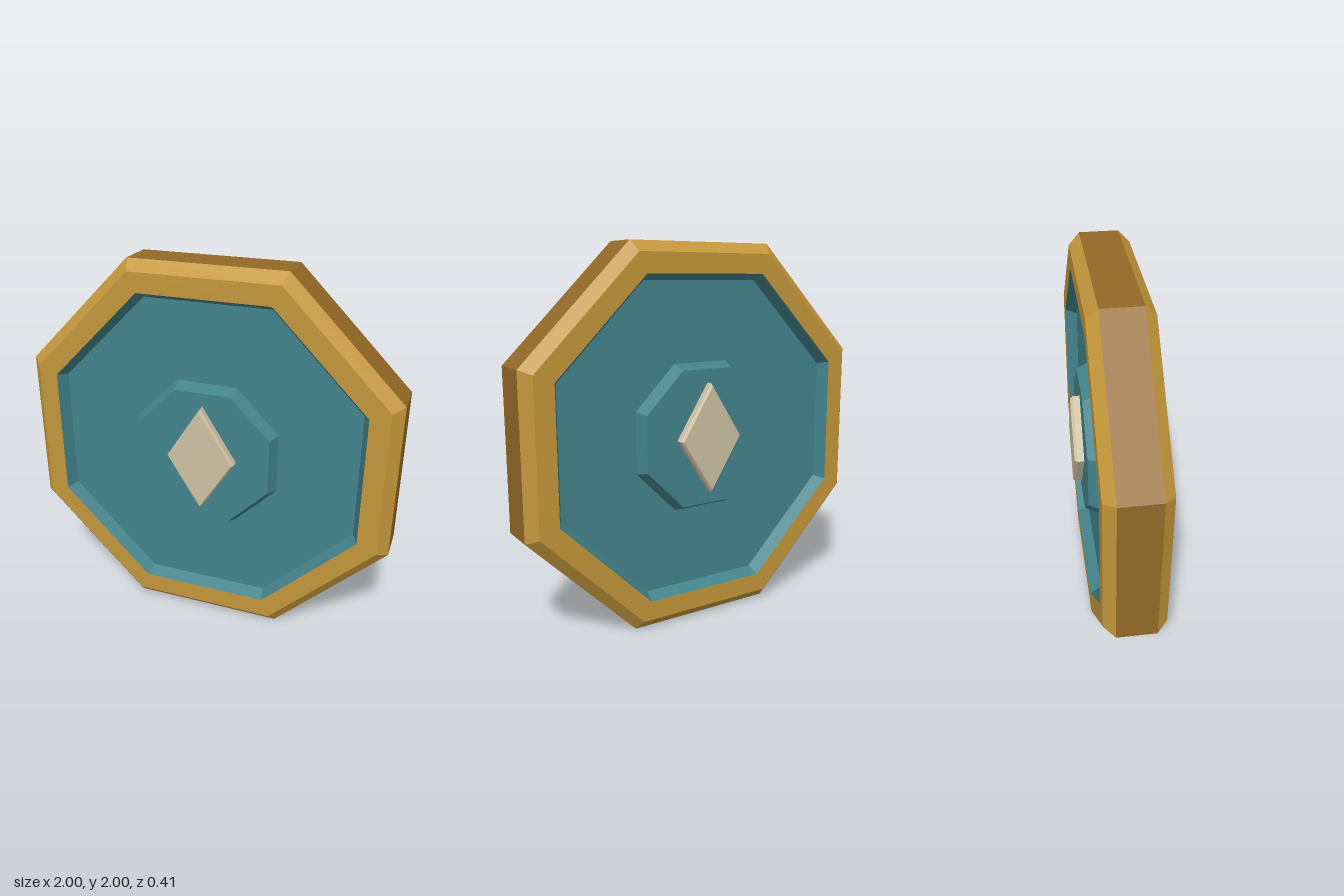
import * as THREE from 'three';

const material = (name, color) => {
  const m = new THREE.MeshStandardMaterial({ color });
  m.name = name;
  return m;
};

// Faceted turned shape around z; each profile point is [apothem or radius, z]
function faceted(profile, sides, phiStart, radiusScale) {
  const points = profile.map(([r, z]) => new THREE.Vector2(r * radiusScale, z));
  const geometry = new THREE.LatheGeometry(points, sides, phiStart);
  geometry.rotateX(Math.PI / 2);
  return geometry;
}

// Separate the facets so that every face is flat
function flat(geometry) {
  const g = geometry.toNonIndexed();
  g.computeVertexNormals();
  return g;
}

const octagon = (profile) => flat(faceted(profile, 8, Math.PI / 8, 1 / Math.cos(Math.PI / 8)));

export function createModel() {
  const gold = material('gold', 0xc4973b);
  const darkGold = material('dark gold', 0x936926);
  const teal = material('teal', 0x43838c);
  const cream = material('cream', 0xcec1a3);

  const model = new THREE.Group();
  model.name = 'octagonalMedallion';

  const add = (parent, name, geometry, mat) => {
    const mesh = new THREE.Mesh(geometry, mat);
    mesh.name = name;
    parent.add(mesh);
  };

  // Outer edge band
  add(model, 'edgeBand', octagon([[1, -0.1], [1, 0.1]]), darkGold);

  // Bevelled rim face
  const rim = octagon([[1, 0.1], [0.945, 0.155], [0.842, 0.155]]);

  // Recessed panel with a raised central boss
  const panel = octagon([[0.842, 0.155], [0.81, 0.09], [0.39, 0.09], [0.36, 0.155], [0, 0.155]]);

  // Bevelled diamond stud
  const stud = faceted([[1, 0.15], [1, 0.19], [0.945, 0.205], [0, 0.205]], 4, 0, 1);
  stud.scale(0.185, 0.29, 1);
  const diamond = flat(stud);

  // Both faces are identical
  ['front', 'back'].forEach((side, i) => {
    const face = new THREE.Group();
    face.name = side + 'Face';
    face.rotation.y = i * Math.PI;
    add(face, side + 'Rim', rim, gold);
    add(face, side + 'Panel', panel, teal);
    add(face, side + 'Diamond', diamond, cream);
    model.add(face);
  });

  // Stand the medallion on the ground
  model.children.forEach((part) => { part.position.y = 1; });
  return model;
}
